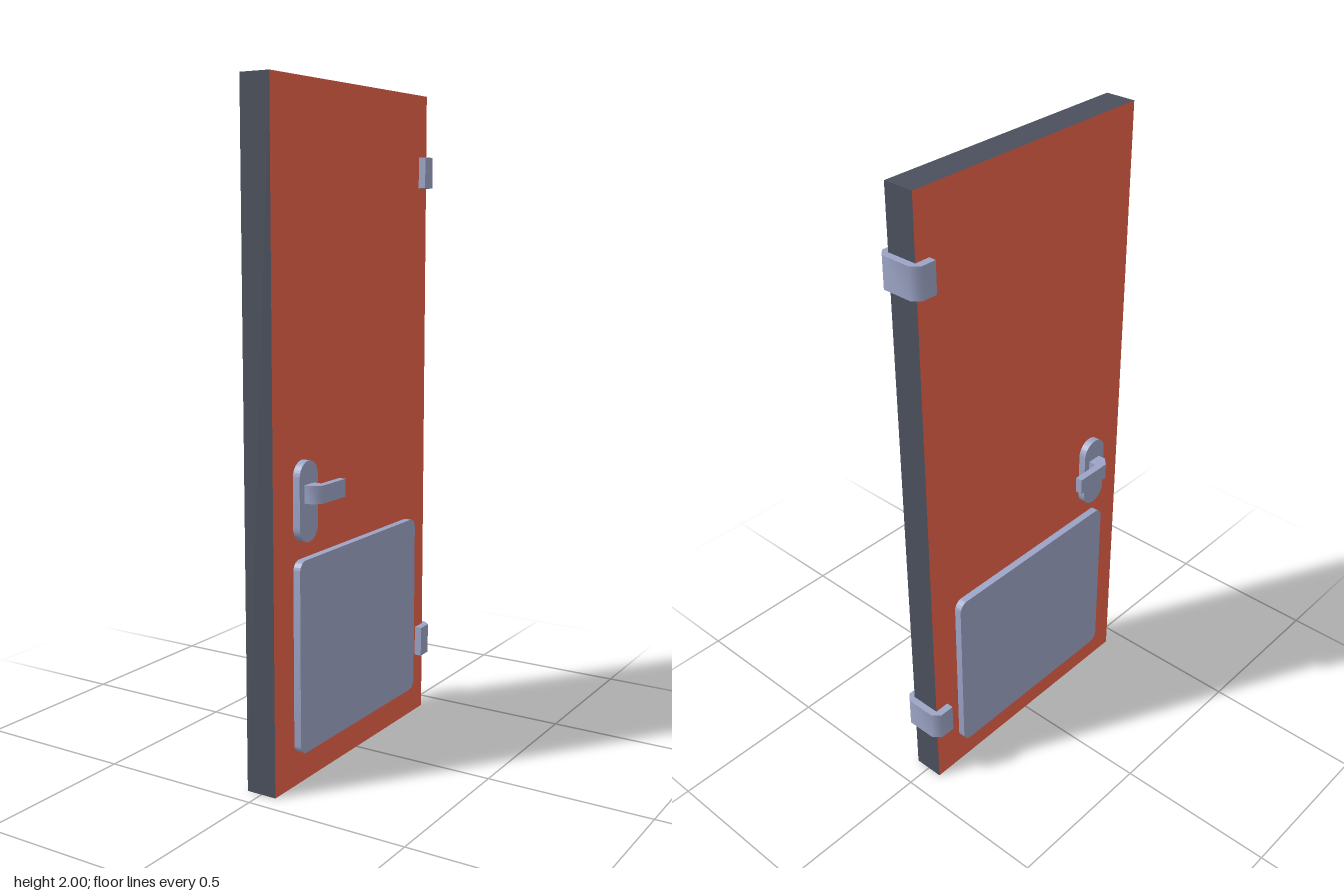
import * as THREE from 'three';
import { toCreasedNormals } from 'three/addons/utils/BufferGeometryUtils.js';

const HALF = 0.048;   // half thickness of the door
const PLATE = 0.071;  // outer x of plates and hinges

// Rounded rectangle in the zy plane, extruded along x
function plateGeometry(z0, z1, y0, y1, r, depth) {
  const a = -z1, b = -z0, q = Math.PI / 2;
  const s = new THREE.Shape();
  s.absarc(b - r, y0 + r, r, -q, 0);
  s.absarc(b - r, y1 - r, r, 0, q);
  s.absarc(a + r, y1 - r, r, q, 2 * q);
  s.absarc(a + r, y0 + r, r, 2 * q, 3 * q);
  s.closePath();
  const g = new THREE.ExtrudeGeometry(s, { depth, bevelEnabled: false, curveSegments: 8 });
  g.rotateY(Math.PI / 2);
  return toCreasedNormals(g, 0.6);
}

// Outline of [x, z] points, extruded upwards from y0 to y1, with soft chamfers
function barGeometry(points, y0, y1) {
  const s = new THREE.Shape(points.map(([x, z]) => new THREE.Vector2(x, -z)));
  const g = new THREE.ExtrudeGeometry(s, { depth: y1 - y0, bevelEnabled: false });
  g.rotateX(-Math.PI / 2);
  g.translate(0, y0, 0);
  return toCreasedNormals(g, 0.95);
}

export function createModel() {
  const group = new THREE.Group();
  const red = new THREE.MeshStandardMaterial({ color: 0xe8624a });
  red.name = 'red paint';
  const dark = new THREE.MeshStandardMaterial({ color: 0x4a505c });
  dark.name = 'dark edge';
  const steel = new THREE.MeshStandardMaterial({ color: 0x9ca4c5 });
  steel.name = 'steel';

  const add = (name, geometry, material) => {
    const m = new THREE.Mesh(geometry, material);
    m.name = name;
    group.add(m);
    return m;
  };

  // Door slab: painted faces, dark edges
  add('doorPanel', new THREE.BoxGeometry(HALF * 2, 2, 0.858),
    [red, red, dark, dark, dark, dark]).position.set(0, 1, 0.011);

  // Fittings on both faces
  const t = PLATE - HALF;
  for (const [side, s] of [['left', 1], ['right', -1]]) {
    const x = s > 0 ? HALF : -PLATE;
    add(side + 'KickPlate', plateGeometry(-0.322, 0.343, 0.097, 0.667, 0.03, t), steel).position.x = x;
    add(side + 'HandlePlate', plateGeometry(0.25, 0.343, 0.717, 0.951, 0.0464, t), steel).position.x = x;
    const lever = [[0.065, 0.32], [0.095, 0.32], [0.118, 0.297], [0.118, 0.177],
      [0.096, 0.177], [0.096, 0.272], [0.065, 0.272]];
    add(side + 'Handle', barGeometry(lever.map(([px, pz]) => [s * px, pz]), 0.832, 0.884), steel);
  }

  // Hinges wrapping the back edge
  const halfHinge = [[HALF, -0.418], [HALF, -0.37], [PLATE, -0.37], [PLATE, -0.418], [HALF, -0.44]];
  const hinge = [...halfHinge, ...halfHinge.map(([x, z]) => [-x, z]).reverse()];
  add('lowerHinge', barGeometry(hinge, 0.191, 0.286), steel);
  add('upperHinge', barGeometry(hinge, 1.716, 1.811), steel);

  return group;
}
